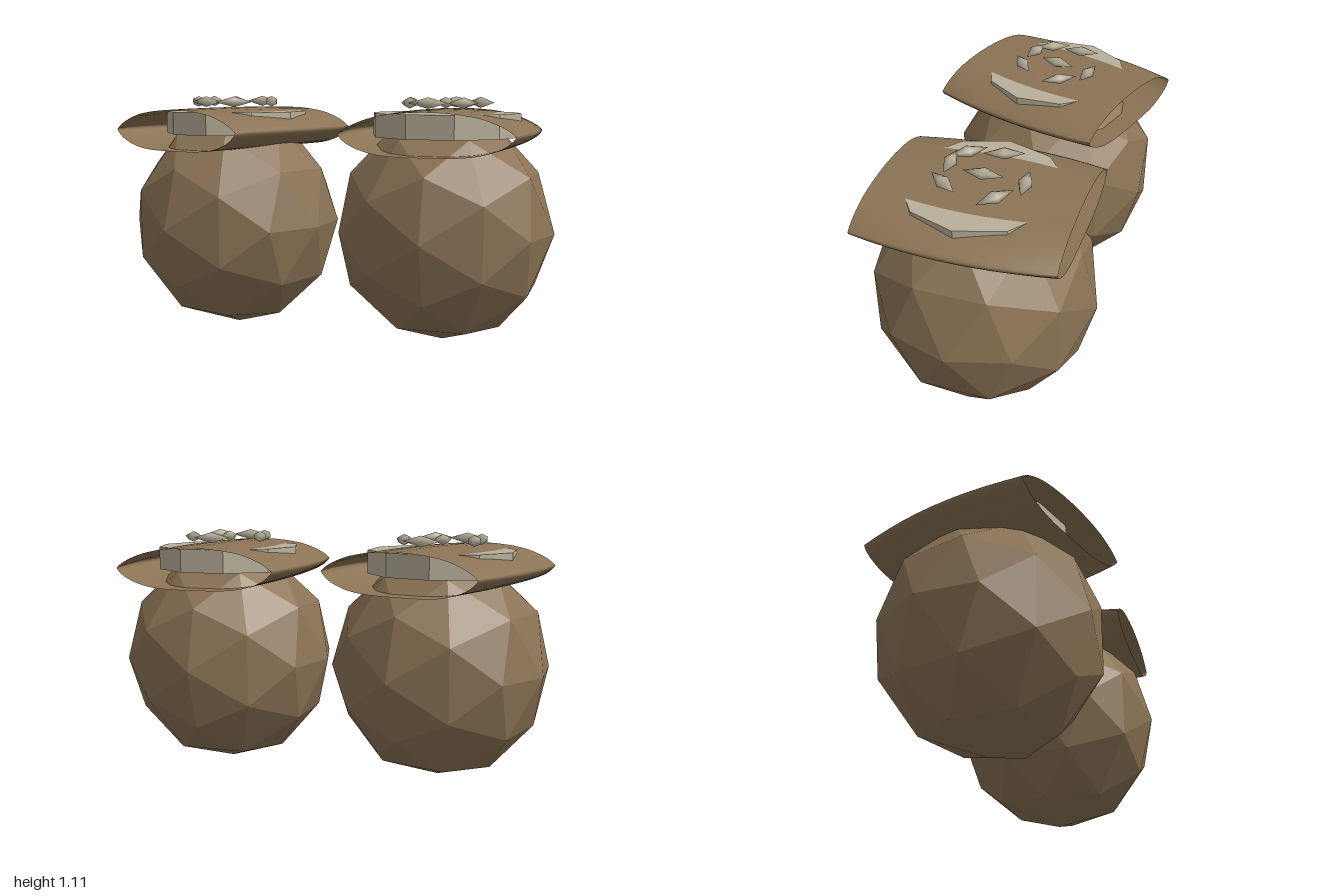
import * as THREE from 'three';

const brown = new THREE.MeshStandardMaterial({ color: 0x8b7355 });
brown.name = 'brown';
brown.flatShading = true;
const brownCloth = new THREE.MeshStandardMaterial({ color: 0x8b7355, side: THREE.DoubleSide });
brownCloth.name = 'brown cloth';
const cream = new THREE.MeshStandardMaterial({ color: 0xb8b09a });
cream.name = 'cream';

function add(parent, name, geometry, material, x = 0, y = 0, z = 0) {
  const mesh = new THREE.Mesh(geometry, material);
  mesh.name = name;
  mesh.position.set(x, y, z);
  parent.add(mesh);
  return mesh;
}

// Flattened sleeve, open at both z ends and a little wider in the middle
function sleeveGeometry() {
  const half = [[0, 1.058], [0.215, 1.04], [0.32, 1.012], [0.39, 0.982], [0.415, 0.96],
    [0.39, 0.932], [0.32, 0.9], [0.205, 0.874], [0, 0.867]];
  const left = half.map(([x, y]) => new THREE.Vector3(-x, y, 0));
  const right = half.slice(1, -1).reverse().map(([x, y]) => new THREE.Vector3(x, y, 0));
  const loop = new THREE.CatmullRomCurve3([...left, ...right], true);
  const sides = 48, rows = 10, pos = [], index = [];
  const ring = Array.from({ length: sides }, (_, j) => loop.getPoint(j / sides));
  for (let i = 0; i <= rows; i++) {
    const t = (i / rows) * 2 - 1;
    for (const p of ring) {
      const squeeze = 1 - 0.108 * t * t * Math.min(1, Math.abs(p.x) / 0.4);
      pos.push(p.x * squeeze, p.y - (p.y > 0.96 ? 0.006 * t * t : 0), t * 0.42);
    }
  }
  for (let i = 0; i < rows; i++) {
    for (let j = 0; j < sides; j++) {
      const k = (j + 1) % sides;
      const a = i * sides + j, b = i * sides + k, c = a + sides, d = b + sides;
      index.push(a, b, c, b, d, c);
    }
  }
  const geo = new THREE.BufferGeometry();
  geo.setAttribute('position', new THREE.Float32BufferAttribute(pos, 3));
  geo.setIndex(index);
  geo.computeVertexNormals();
  return geo;
}

// Seeds: x, z and the direction of the long axis in the xz plane
const seeds = [
  [0.013, -0.18, 30, -3], [0.14, -0.1, 24, 18], [-0.168, -0.03, 9, 29], [0, 0, 0, 33],
  [-0.135, 0.115, 19, 22], [0.105, 0.13, 19, -25], [-0.045, 0.157, 32, -2],
];

function createPiece(name) {
  const piece = new THREE.Group();
  piece.name = name;

  // Faceted ball
  const ball = new THREE.IcosahedronGeometry(1, 1).scale(0.493, 0.515, 0.493);
  add(piece, 'ball', ball, brown, 0, 0.515, 0);

  // Sleeve over the top, with a ten-sided disc showing through it
  add(piece, 'sleeve', sleeveGeometry(), brownCloth);
  const disc = new THREE.CylinderGeometry(0.335, 0.335, 0.105, 10).rotateY(Math.PI / 2);
  const discMesh = add(piece, 'disc', disc.toNonIndexed(), cream, 0, 0.9875, 0);
  discMesh.geometry.computeVertexNormals();

  // Pointed seeds
  const seedGeo = new THREE.SphereGeometry(1, 6, 2).rotateZ(Math.PI / 2).scale(0.087, 0.025, 0.031);
  for (const [x, z, dx, dz] of seeds) {
    add(piece, 'seed', seedGeo, cream, x, 1.085, z).rotation.y = -Math.atan2(dz, dx);
  }
  return piece;
}

export function createModel() {
  const model = new THREE.Group();
  model.name = 'pair of topped balls';
  const leftPiece = createPiece('leftPiece');
  leftPiece.position.x = 0.503;
  const rightPiece = createPiece('rightPiece');
  rightPiece.position.x = -0.525;
  rightPiece.rotation.y = -0.297;
  model.add(leftPiece, rightPiece);
  return model;
}
